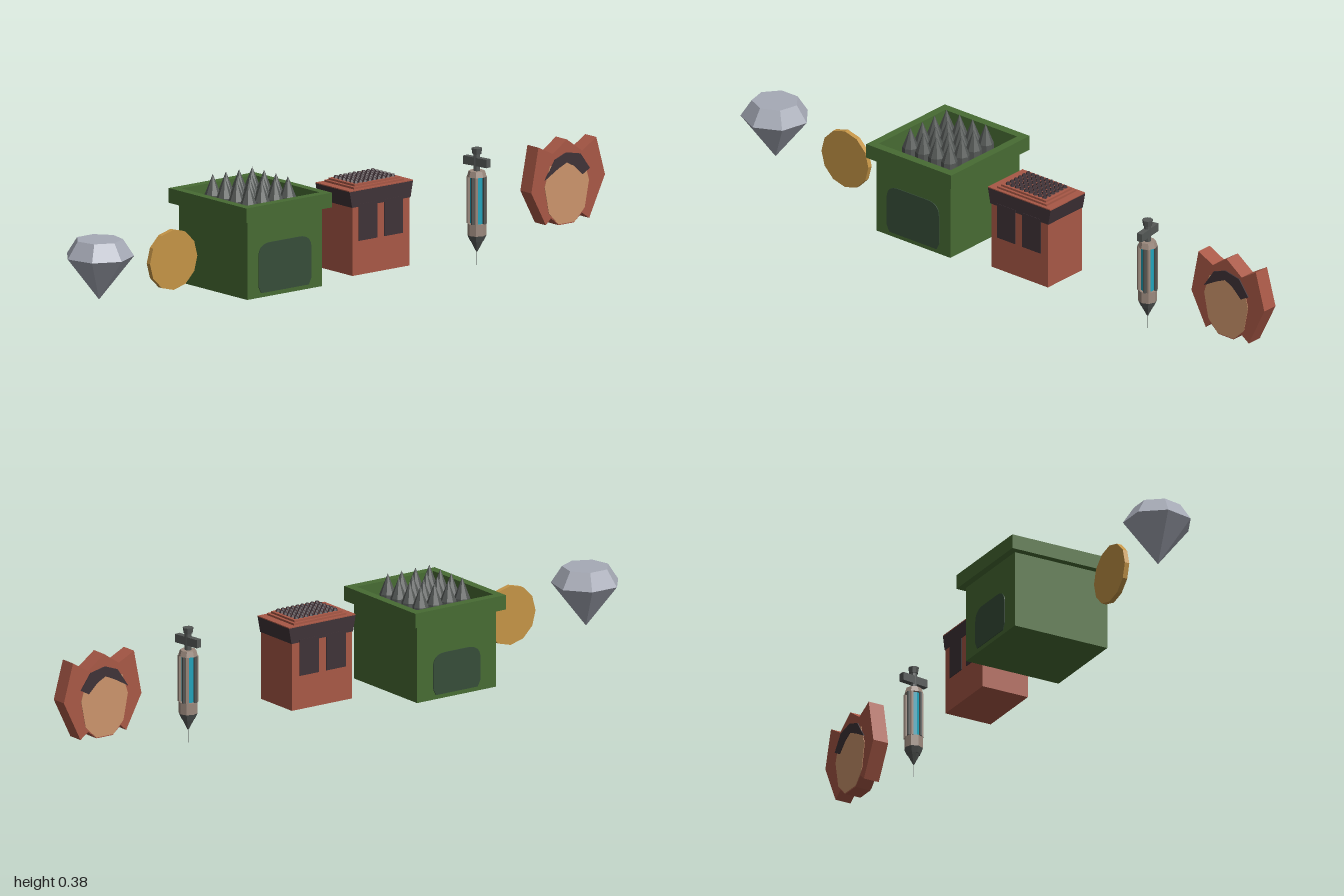
import * as THREE from 'three';

const mat = (name, color) => {
  const m = new THREE.MeshStandardMaterial({ color });
  m.name = name;
  m.flatShading = true;
  return m;
};

export function createModel() {
  const brick = mat('brick red', 0xa85846), green = mat('green', 0x476b33);
  const skin = mat('skin tan', 0xcc946c), gold = mat('gold', 0xc49446);
  const dark = mat('dark brown', 0x3f3237), crystal = mat('crystal grey', 0xa6aab6);
  const moss = mat('dark green', 0x364d38), steel = mat('steel grey', 0x545856);
  const cyan = mat('cyan', 0x22a5bd), collarTan = mat('collar tan', 0x9c8a7e);

  const root = new THREE.Group();
  root.name = 'itemSet';
  const group = (name, x, z) => {
    const g = new THREE.Group();
    g.name = name;
    g.position.set(x, 0, z);
    root.add(g);
    return g;
  };
  const add = (g, name, geo, m, x = 0, y = 0, z = 0) => {
    const mesh = new THREE.Mesh(geo, m);
    mesh.name = name;
    mesh.position.set(x, y, z);
    g.add(mesh);
    return mesh;
  };
  // Box and cylinder given by their bottom and top heights
  const box = (g, name, m, w, y0, y1, d, x = 0, z = 0) =>
    add(g, name, new THREE.BoxGeometry(w, y1 - y0, d), m, x, (y0 + y1) / 2, z);
  const cyl = (g, name, m, rTop, rBottom, y0, y1, sides, x = 0, z = 0) =>
    add(g, name, new THREE.CylinderGeometry(rTop, rBottom, y1 - y0, sides), m, x, (y0 + y1) / 2, z);
  const shapeOf = pts => new THREE.Shape(pts.map(p => new THREE.Vector2(p[0], p[1])));
  const slab = (shape, depth) => {
    const geo = new THREE.ExtrudeGeometry(shape, { depth, bevelEnabled: false });
    return geo.translate(0, 0, -depth / 2);
  };
  const rect = (w, d) => [[-w / 2, -d / 2], [w / 2, -d / 2], [w / 2, d / 2], [-w / 2, d / 2]];

  // Cut gem: crown over a pointed pavilion, seven sides
  const gem = group('gem', -0.9, 0.05);
  cyl(gem, 'gemCrown', crystal, 0.07, 0.1025, 0.235, 0.285, 7);
  cyl(gem, 'gemPavilion', crystal, 0.1025, 0, 0.105, 0.235, 7);

  // Coin standing on edge
  const coin = group('coin', -0.625, 0.053);
  add(coin, 'coinDisc', new THREE.CylinderGeometry(0.09, 0.09, 0.015, 12), gold, 0, 0.185).rotation.x = Math.PI / 2;

  // Square tub with a heavy rim
  const tub = group('spikeTub', -0.282, -0.001);
  const ring = (name, w, d, y0, y1) => {
    const s = shapeOf(rect(w, d));
    s.holes.push(new THREE.Path(rect(0.275, 0.298).reverse().map(p => new THREE.Vector2(p[0], p[1]))));
    add(tub, name, slab(s, y1 - y0), green, 0, (y0 + y1) / 2).rotation.x = -Math.PI / 2;
  };
  box(tub, 'tubBody', green, 0.284, 0.052, 0.25, 0.311);
  ring('tubWall', 0.284, 0.311, 0.25, 0.288);
  ring('tubRim', 0.326, 0.352, 0.288, 0.332);
  box(tub, 'tubFloor', moss, 0.275, 0.25, 0.253, 0.298);

  // Rounded panel on the front, a smaller one on the back
  for (const [name, w, y0, y1, z] of [
    ['frontPanel', 0.2, 0.065, 0.213, 0.156], ['backPanel', 0.17, 0.065, 0.19, -0.156]]) {
    const h = w / 2;
    const s = new THREE.Shape();
    s.moveTo(-h + 0.01, y0);
    s.lineTo(h - 0.01, y0);
    s.lineTo(h, y0 + 0.02);
    s.lineTo(h, y1 - 0.04);
    s.quadraticCurveTo(h, y1, h - 0.045, y1);
    s.lineTo(-h + 0.045, y1);
    s.quadraticCurveTo(-h, y1, -h, y1 - 0.04);
    s.lineTo(-h, y0 + 0.02);
    add(tub, name, slab(s, 0.004), moss, 0, 0, z);
  }

  // Four by four spikes
  for (let i = 0; i < 4; i++) {
    for (let j = 0; j < 4; j++) {
      const x = (i - 1.5) * 0.05, z = (j - 1.5) * 0.054;
      cyl(tub, 'spike', steel, 0, 0.024, 0.317, 0.378, 8, x, z);
      cyl(tub, 'spikeShaft', steel, 0.024, 0.024, 0.25, 0.317, 8, x, z);
    }
  }

  // Small brick block with dark band, windows and studded top
  const block = group('studdedBlock', 0.105, 0.054);
  box(block, 'blockBody', brick, 0.217, 0.058, 0.3, 0.152);
  const band = box(block, 'blockBand', dark, 0.222, 0.262, 0.31, 0.155);
  const p = band.geometry.attributes.position;
  for (let i = 0; i < p.count; i++) if (p.getY(i) > 0) p.setX(i, p.getX(i) * 1.085);
  band.geometry.computeVertexNormals();
  box(block, 'topTrim', brick, 0.241, 0.31, 0.313, 0.155);
  box(block, 'topStepLower', brick, 0.19, 0.313, 0.319, 0.134);
  box(block, 'topStepUpper', brick, 0.172, 0.319, 0.325, 0.118);
  for (const side of [-1, 1]) {
    for (const x of [-0.05, 0.047]) box(block, 'blockWindow', dark, 0.07, 0.16, 0.27, 0.004, x, side * 0.0765);
  }
  for (let i = 0; i < 9; i++) {
    for (let j = 0; j < 6; j++) {
      cyl(block, 'stud', dark, 0.005, 0.008, 0.325, 0.332, 6, (i - 4) * 0.0175, (j - 2.5) * 0.018);
    }
  }

  // Injector: cyan core in a cage of posts, needle below, plunger above
  const injector = group('injector', 0.532, 0.055);
  cyl(injector, 'needle', steel, 0.001, 0.001, 0, 0.045, 5);
  cyl(injector, 'needleCone', steel, 0.02, 0.002, 0.04, 0.075, 8);
  cyl(injector, 'lowerCollar', steel, 0.028, 0.02, 0.072, 0.09, 8);
  cyl(injector, 'lowerSleeve', collarTan, 0.028, 0.028, 0.09, 0.125, 8);
  cyl(injector, 'fluidCore', cyan, 0.02, 0.02, 0.125, 0.27, 8);
  for (let k = 0; k < 4; k++) {
    const a = Math.PI / 8 + (k * Math.PI) / 2;
    for (const [m, turn] of [[steel, 0], [collarTan, 0.42]]) {
      const x = Math.sin(a + turn) * 0.025, z = Math.cos(a + turn) * 0.025;
      cyl(injector, 'cagePost', m, 0.0055, 0.0055, 0.125, 0.265, 6, x, z);
    }
  }
  cyl(injector, 'upperSleeve', collarTan, 0.024, 0.029, 0.265, 0.282, 8);
  cyl(injector, 'plungerStem', steel, 0.01, 0.01, 0.28, 0.335, 8);
  cyl(injector, 'plungerCap', steel, 0.016, 0.013, 0.332, 0.35, 8);
  box(injector, 'fingerGrip', steel, 0.018, 0.297, 0.322, 0.09).rotation.y = 0.15;

  // Head badge: spiky slab with a face and fringe on both sides
  const badge = group('headBadge', 0.86, 0.053);
  add(badge, 'badgeBody', slab(shapeOf([
    [-0.14, 0.19], [-0.113, 0.323], [-0.058, 0.296], [-0.005, 0.332], [0.053, 0.29], [0.107, 0.323],
    [0.14, 0.207], [0.08, 0.085], [0.052, 0.105], [0.022, 0.08], [-0.036, 0.08], [-0.065, 0.105], [-0.085, 0.087],
  ]), 0.05), brick);
  const face = shapeOf([
    [-0.09, 0.2], [-0.07, 0.26], [-0.005, 0.275], [0.06, 0.26], [0.078, 0.2],
    [0.062, 0.12], [0.024, 0.083], [-0.038, 0.083], [-0.074, 0.12],
  ]);
  const fringe = shapeOf([
    [-0.09, 0.222], [-0.052, 0.278], [-0.008, 0.294], [0.045, 0.283], [0.08, 0.235],
    [0.052, 0.22], [0.02, 0.25], [-0.008, 0.264], [-0.04, 0.25],
  ]);
  for (const side of [-1, 1]) {
    add(badge, 'face', slab(face, 0.002), skin, 0, 0, side * 0.0255);
    add(badge, 'fringe', slab(fringe, 0.004), dark, 0, 0, side * 0.0265);
  }
  return root;
}
